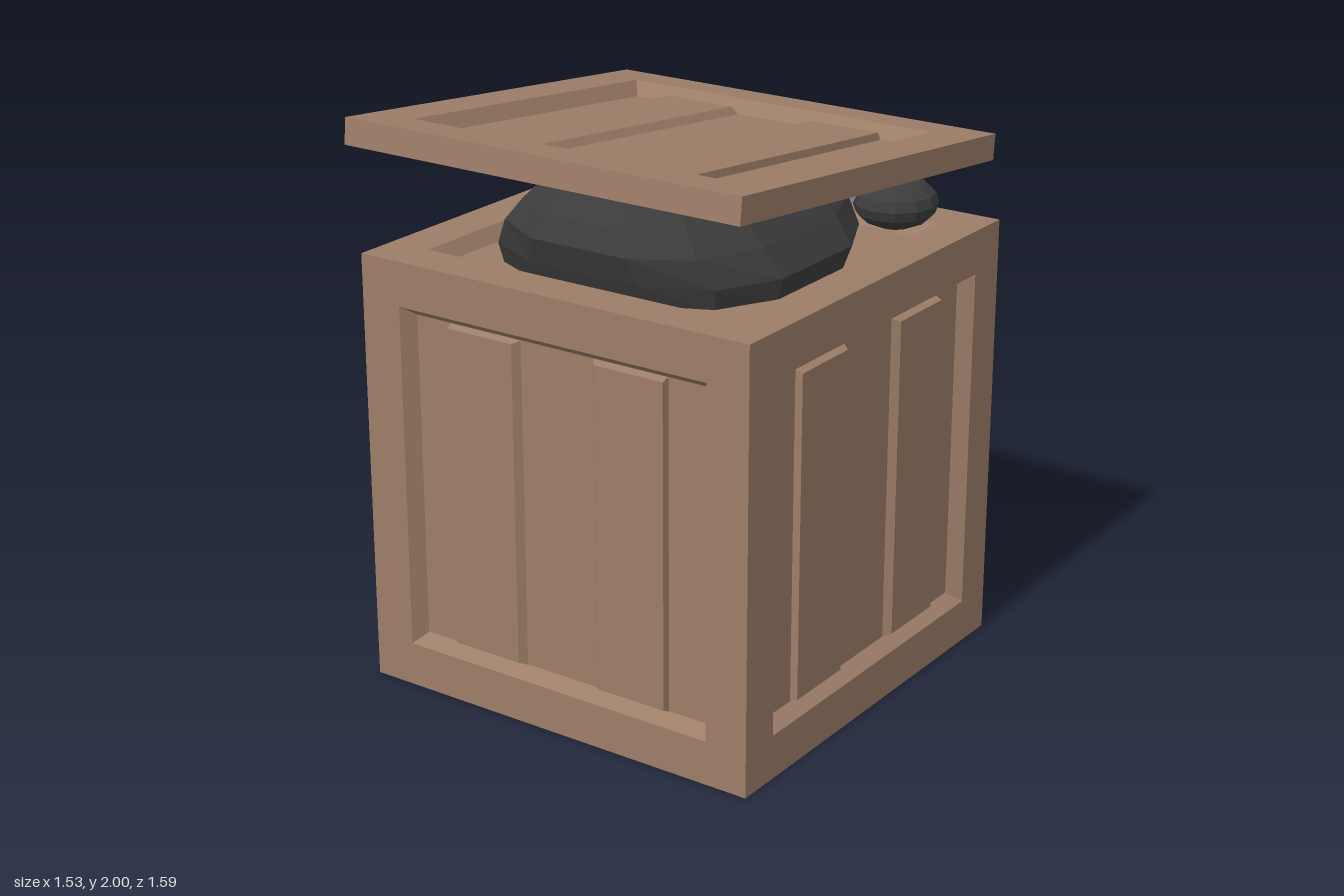
import * as THREE from 'three';

const HALF = 0.765;      // half side of crate and lid
const DEPTH = 0.05;      // depth of the recessed panels
const wood = new THREE.MeshStandardMaterial({ color: 0x9d7e68, flatShading: true });
const fur = new THREE.MeshStandardMaterial({ color: 0x3c3c3c, flatShading: true });
const pale = new THREE.MeshStandardMaterial({ color: 0xcccccc, flatShading: true });

function mesh(name, geometry, material) {
  const m = new THREE.Mesh(geometry, material);
  m.name = name;
  return m;
}

// Square turned shape: a four-sided lathe, radii given as half widths
function squareLathe(points) {
  const pts = points.map(([r, y]) => new THREE.Vector2(r * Math.SQRT2, y));
  const g = new THREE.LatheGeometry(pts, 4, Math.PI / 4).toNonIndexed();
  g.computeVertexNormals();
  return g;
}

// Raised plank with uneven chamfers, wider on the inner side
function plankGeometry(side) {
  const g = new THREE.BoxGeometry(1, 1, 1).toNonIndexed();
  const p = g.attributes.position;
  for (let i = 0; i < p.count; i++) {
    const top = p.getY(i) > 0 ? 1 : 0;
    const outer = p.getX(i) * side > 0;
    const front = p.getZ(i) > 0;
    p.setXYZ(i,
      side * (outer ? 0.433 - 0.004 * top : 0.145 + 0.02 * top),
      -DEPTH + 0.025 * top,
      front ? 0.578 - 0.012 * top : -0.575 + 0.01 * top);
  }
  g.computeVertexNormals();
  return g;
}

// Framed panel facing up, its outer face at y = 0
const recess = [[HALF, 0], [0.61, 0], [0.576, -DEPTH], [0, -DEPTH]];
function panel(name, profile = recess) {
  const group = new THREE.Group();
  group.name = name;
  group.add(mesh('frame', squareLathe(profile), wood));
  for (const s of [-1, 1]) group.add(mesh('plank', plankGeometry(s), wood));
  return group;
}

function createCrate() {
  const crate = new THREE.Group();
  crate.name = 'crate';
  const top = mesh('topFrame', squareLathe(recess), wood);
  top.position.y = HALF;
  crate.add(top);
  ['front', 'left', 'back', 'right'].forEach((name, i) => {
    const side = new THREE.Group();
    side.name = name + 'Side';
    const face = panel('sidePanel');
    face.rotation.x = Math.PI / 2;
    face.position.z = HALF;
    side.add(face);
    side.rotation.y = i * Math.PI / 2;
    crate.add(side);
  });
  crate.add(mesh('bottom', squareLathe([[0, -HALF], [HALF, -HALF]]), wood));
  crate.position.set(0, HALF, -0.025);
  return crate;
}

// Lid lifted at the front
function createLid() {
  const lid = panel('lid', [[0, -0.09], [HALF, -0.09], ...recess]);
  lid.rotation.x = -0.102;
  lid.position.set(0, 1.922, 0.026);
  return lid;
}

// Rounded body from rings: height, half width, front z, back z
function createBody() {
  const rings = [
    [1.47, 0.54, 0.53, -0.47], [1.55, 0.555, 0.56, -0.54], [1.645, 0.49, 0.59, -0.55],
    [1.72, 0.42, 0.555, -0.51], [1.825, 0.3, 0.475, -0.34], [1.862, 0.24, 0.34, -0.24], [1.864, 0, 0.05, 0.05],
  ];
  const sides = 12;
  const g = new THREE.LatheGeometry(rings.map(r => new THREE.Vector2(1, r[0])), sides, Math.PI / sides);
  const p = g.attributes.position;
  const soft = v => Math.sign(v) * Math.abs(v) ** 0.72;
  for (let i = 0; i < p.count; i++) {
    const [y, w, f, b] = rings[i % rings.length];
    const z = (f + b) / 2 + (f - b) / 2 * soft(p.getZ(i));
    // keep the back pressed under the sloping lid
    p.setXYZ(i, w * soft(p.getX(i)), Math.min(y, 1.84 + 0.102 * z), z);
  }
  g.computeVertexNormals();
  return mesh('body', g, fur);
}

export function createModel() {
  const model = new THREE.Group();
  model.name = 'crateWithHiddenAnimal';
  model.add(createCrate(), createLid(), createBody());

  for (const s of [-1, 1]) {
    // Paw resting on the rim
    const paw = mesh(s > 0 ? 'leftPaw' : 'rightPaw', new THREE.SphereGeometry(1, 12, 8), fur);
    paw.scale.set(0.147, 0.092, 0.152);
    paw.position.set(0.457 * s, 1.585, -0.615);
    model.add(paw);

    // Pale tuft beside the head
    const tuft = mesh(s > 0 ? 'leftTuft' : 'rightTuft', new THREE.IcosahedronGeometry(1, 1), pale);
    tuft.scale.set(0.06, 0.065, 0.105);
    tuft.rotation.x = -0.8;
    tuft.position.set(0.33 * s, 1.66, -0.44);
    model.add(tuft);
  }
  return model;
}
